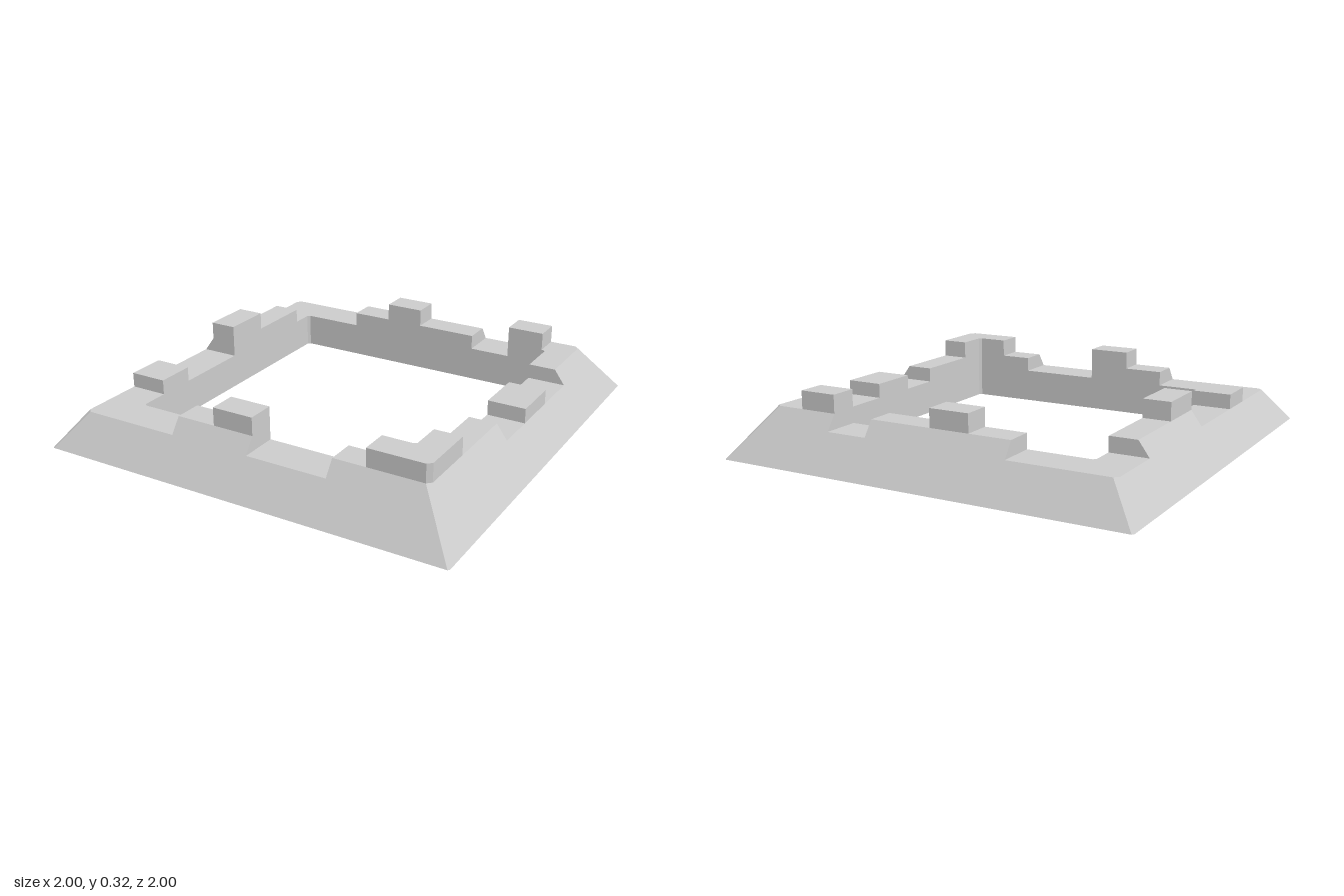
import * as THREE from 'three';

const LOW = 0.165, MID = 0.235;   // the two wall-top heights
const INNER = 0.7;                // distance of the inner wall from the centre
const outerAt = (h) => 1 - (h / MID) * 0.17; // sloped outer face

// Four sides, each a quarter turn from the last, starting at the front.
// runs: [end position along the side, wall height]; blocks: [from, to, base height]
const SIDES = [
  { name: 'front', runs: [[-0.39, LOW], [0, MID], [0.39, LOW], [null, MID]],
    blocks: [[-0.2, 0, MID]] },
  { name: 'left', runs: [[-0.2, MID], [0.49, LOW], [null, MID]],
    blocks: [[0, 0.24, LOW]] },
  { name: 'back', runs: [[-0.5, MID], [-0.3, LOW], [0.39, MID], [null, LOW]],
    blocks: [[-0.68, -0.5, MID], [0, 0.19, MID]] },
  { name: 'right', runs: [[-0.58, LOW], [0, MID], [null, LOW]],
    blocks: [[-0.24, 0, MID], [0.375, 0.56, LOW]] },
];
const blockTop = (base) => (base === LOW ? MID : 0.32);

// Cross-section: outer foot, outer top edge, inner top edge, inner foot.
// end is -1 or 1 at the bevelled corners, 0 elsewhere.
function section(s, h, end, turn) {
  const o = outerAt(h);
  const at = (corner, y, d) =>
    new THREE.Vector3(end ? end * corner : s, y, d).applyAxisAngle(new THREE.Vector3(0, 1, 0), turn);
  return [at(0.993, 0, 1), at(o - 0.02, h, o), at(INNER - 0.012, h, INNER), at(INNER - 0.012, 0, INNER)];
}

function wallGeometry() {
  const rings = [];
  SIDES.forEach(({ runs }, i) => {
    const turn = (i * Math.PI) / 2;
    let start = null;
    for (const [stop, h] of runs) {
      rings.push(section(start, h, start === null ? -1 : 0, turn));
      rings.push(section(stop, h, stop === null ? 1 : 0, turn));
      start = stop;
    }
  });
  // Join neighbouring sections, leaving out triangles without area
  const points = [];
  const addTriangle = (a, b, c) => {
    if (new THREE.Triangle(a, b, c).getArea() > 1e-6) points.push(a, b, c);
  };
  rings.forEach((p, i) => {
    const q = rings[(i + 1) % rings.length];
    for (let j = 0; j < 3; j++) {
      addTriangle(p[j], q[j], q[j + 1]);
      addTriangle(p[j], q[j + 1], p[j + 1]);
    }
  });
  const geometry = new THREE.BufferGeometry().setFromPoints(points);
  geometry.computeVertexNormals();
  return geometry;
}

export function createModel() {
  const group = new THREE.Group();
  group.name = 'ruinedWallBase';
  const material = new THREE.MeshStandardMaterial({
    color: 0xcccccc, flatShading: true, side: THREE.DoubleSide,
  });
  const add = (parent, geometry, name) => {
    const mesh = new THREE.Mesh(geometry, material);
    mesh.name = name;
    parent.add(mesh);
    return mesh;
  };

  // Sloped, broken wall, open underneath
  add(group, wallGeometry(), 'slopedWall');

  // Loose blocks standing on the wall
  SIDES.forEach(({ name, blocks }, i) => {
    const side = new THREE.Group();
    side.name = name + 'Blocks';
    side.rotation.y = (i * Math.PI) / 2;
    for (const [from, to, base] of blocks) {
      const o = outerAt(base), height = blockTop(base) - base;
      const block = add(side, new THREE.BoxGeometry(to - from, height, o - INNER), name + 'Block');
      block.position.set((from + to) / 2, base + height / 2, (o + INNER) / 2);
    }
    group.add(side);
  });

  // L-shaped block on the front left corner
  const half = [[0.545, 0.7], [0.545, 0.83], [0.81, 0.83]];
  const plan = [[0.688, 0.7], ...half, ...half.map(([x, z]) => [z, x]).reverse(), [0.7, 0.688]];
  const shape = new THREE.Shape(plan.map(([x, z]) => new THREE.Vector2(x, -z)));
  const corner = new THREE.ExtrudeGeometry(shape, { depth: blockTop(MID) - MID, bevelEnabled: false });
  corner.rotateX(-Math.PI / 2);
  add(group, corner, 'cornerBlock').position.y = MID;

  return group;
}
